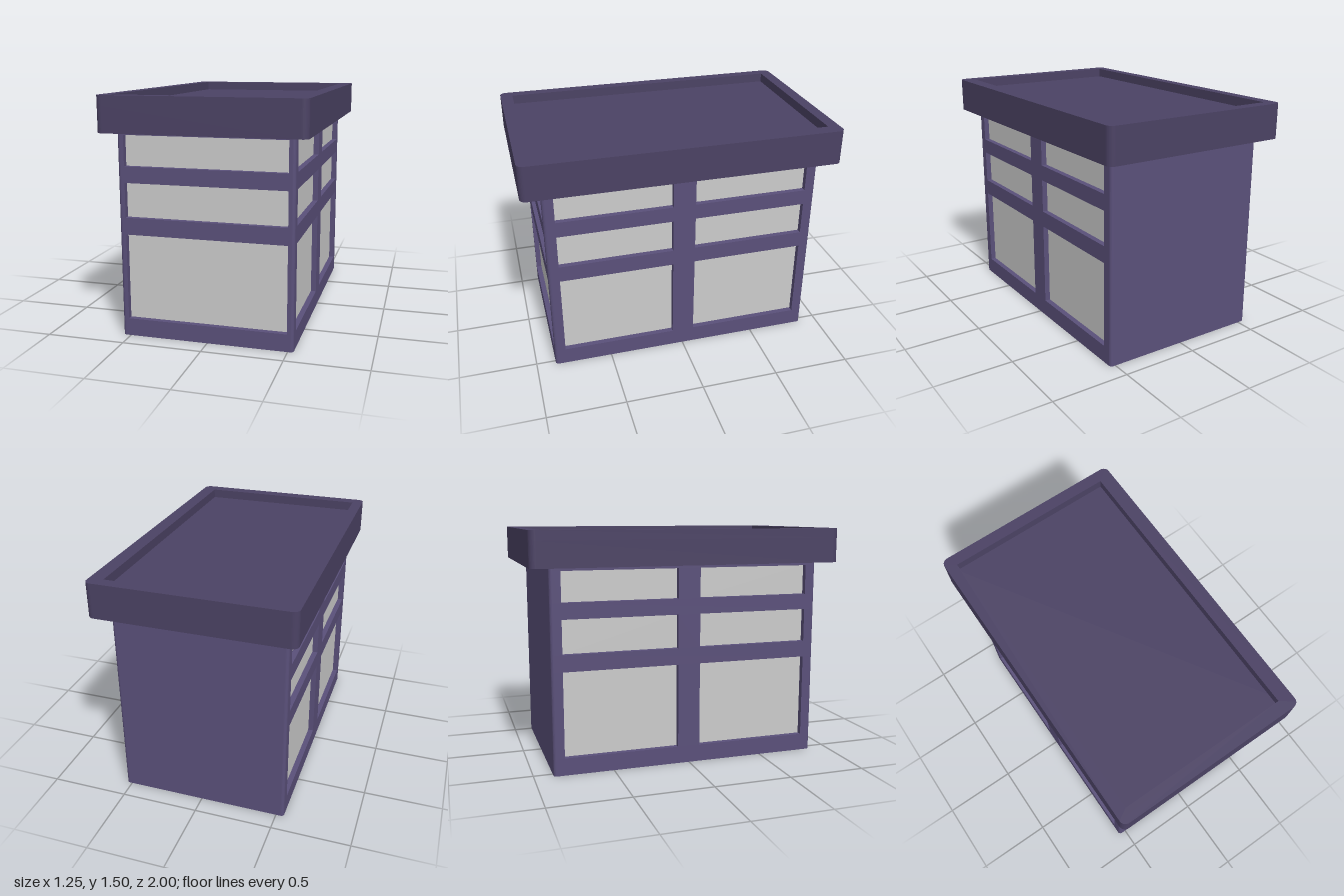
import * as THREE from 'three';

const wallMat = new THREE.MeshStandardMaterial({ color: 0x5a507a });
const roofMat = new THREE.MeshStandardMaterial({ color: 0x4b4264 });
const paneMat = new THREE.MeshStandardMaterial({ color: 0xcccccc });

// Body half sizes, window extents and recess depths
const HW = 0.5425, HD = 0.8775, BODY_R = 0.02, ROOF_Y = 1.28;
const FRONT_W = 0.5025, SIDE_IN = 0.0725, SIDE_OUT = 0.8075;
const RECESS = 0.035, PANE = 0.01;
const rows = [[0.11, 0.65], [0.755, 0.97], [1.07, 1.26]];

// Rounded rectangle plan; notched plans carry the window recesses (plan y = -z)
function plan(w, d, r, notch = 0) {
  const s = new THREE.Shape();
  s.moveTo(-w + r, -d);
  if (notch) {
    s.lineTo(-FRONT_W, -d).lineTo(-FRONT_W, -d + notch);
    s.lineTo(FRONT_W, -d + notch).lineTo(FRONT_W, -d);
  }
  s.lineTo(w - r, -d).absarc(w - r, -d + r, r, -Math.PI / 2, 0, false);
  const side = (x, dir) => {
    if (!notch) return;
    for (const [a, b] of [[-SIDE_OUT, -SIDE_IN], [SIDE_IN, SIDE_OUT]]) {
      const [p, q] = dir > 0 ? [a, b] : [-a, -b];
      s.lineTo(x, p).lineTo(x - dir * notch, p);
      s.lineTo(x - dir * notch, q).lineTo(x, q);
    }
  };
  side(w, 1);
  s.lineTo(w, d - r).absarc(w - r, d - r, r, 0, Math.PI / 2, false);
  s.lineTo(-w + r, d).absarc(-w + r, d - r, r, Math.PI / 2, Math.PI, false);
  side(-w, -1);
  s.lineTo(-w, -d + r).absarc(-w + r, -d + r, r, Math.PI, Math.PI * 1.5, false);
  return s;
}

// Raise a plan between two heights
function slab(name, shape, y0, y1, mat) {
  const g = new THREE.ExtrudeGeometry(shape, { depth: y1 - y0, bevelEnabled: false, curveSegments: 4 });
  g.rotateX(-Math.PI / 2).translate(0, y0, 0);
  const m = new THREE.Mesh(g, mat);
  m.name = name;
  return m;
}

function pane(name, w, h, d, x, y, z) {
  const m = new THREE.Mesh(new THREE.BoxGeometry(w, h, d), paneMat);
  m.position.set(x, y, z);
  m.name = name;
  return m;
}

export function createModel() {
  const model = new THREE.Group();
  model.name = 'kiosk';

  const body = new THREE.Group();
  body.name = 'body';
  body.position.set(-0.0075, 0, -0.0025);
  model.add(body);

  // Solid wall bands alternating with recessed window rows
  let y = 0;
  for (const [y0, y1] of rows) {
    body.add(slab('wallBand', plan(HW, HD, BODY_R), y, y0, wallMat));
    body.add(slab('windowRow', plan(HW, HD, BODY_R, RECESS + PANE), y0, y1, wallMat));
    y = y1;

    // Panes at the bottom of each recess
    const h = y1 - y0, cy = (y0 + y1) / 2, inset = RECESS + PANE / 2;
    body.add(pane('frontPane', FRONT_W * 2, h, PANE, 0, cy, HD - inset));
    for (const sx of [-1, 1]) for (const sz of [-1, 1]) {
      body.add(pane('sidePane', PANE, h, SIDE_OUT - SIDE_IN,
        sx * (HW - inset), cy, sz * (SIDE_IN + SIDE_OUT) / 2));
    }
  }
  body.add(slab('wallBand', plan(HW, HD, BODY_R), y, ROOF_Y, wallMat));

  // Overhanging roof with a sunken deck inside a raised rim
  const roof = new THREE.Group();
  roof.name = 'roof';
  const deckY = 1.44;
  roof.add(slab('roofDeck', plan(0.625, 1, 0.04), ROOF_Y, deckY, roofMat));
  const rim = plan(0.625, 1, 0.04);
  rim.holes.push(new THREE.Path([
    [-0.555, -0.92], [-0.555, 0.925], [0.535, 0.925], [0.535, -0.92],
  ].map(([a, b]) => new THREE.Vector2(a, b))));
  roof.add(slab('roofRim', rim, deckY, 1.5, roofMat));
  model.add(roof);

  return model;
}
